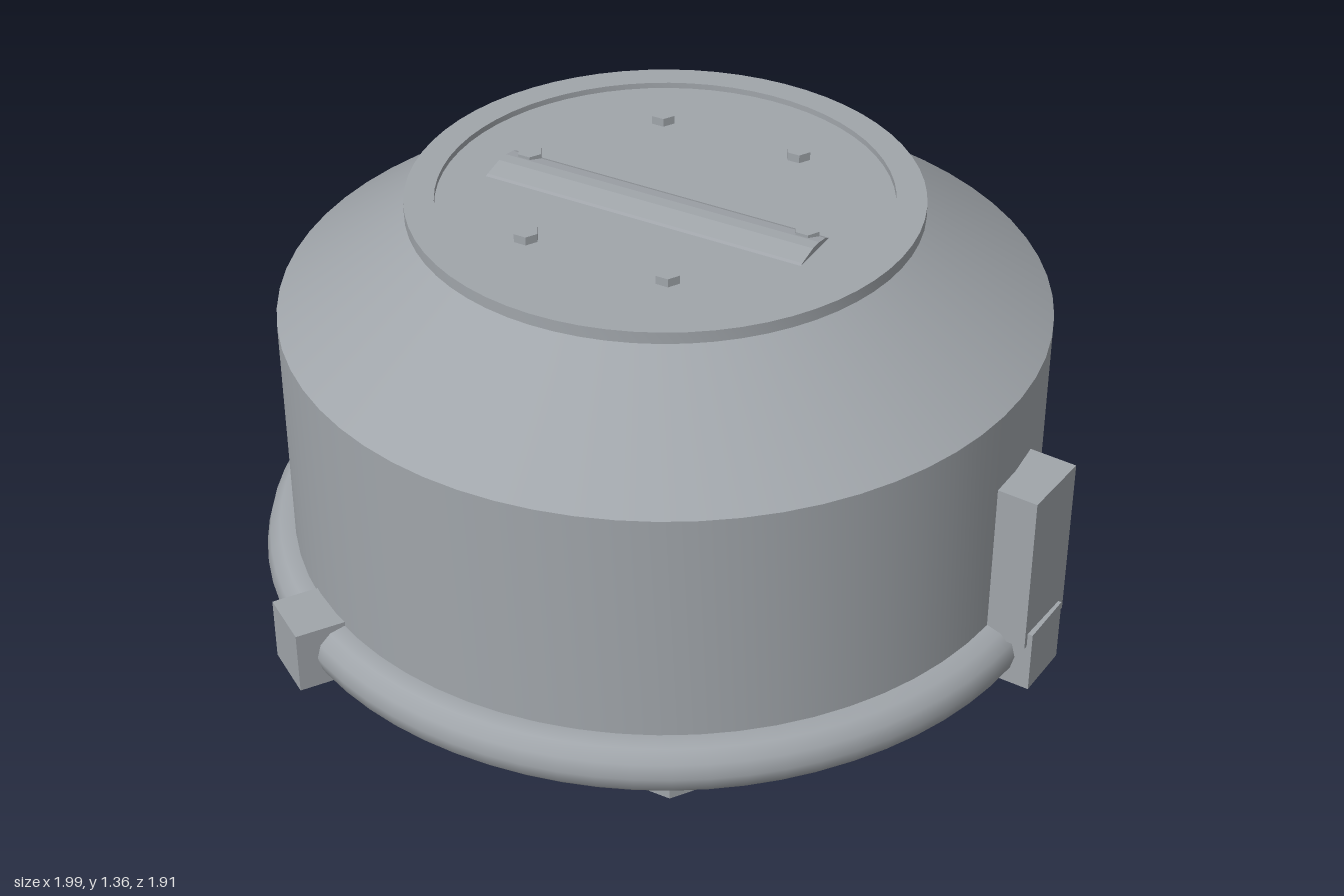
import * as THREE from 'three';
import { toCreasedNormals } from 'three/addons/utils/BufferGeometryUtils.js';

export function createModel() {
  const model = new THREE.Group();
  model.name = 'drumHousing';
  const greyMetal = new THREE.MeshStandardMaterial({ color: 0xa0a5aa });
  greyMetal.name = 'greyMetal';

  const add = (name, geometry, parent = model) => {
    const mesh = new THREE.Mesh(geometry, greyMetal);
    mesh.name = name;
    parent.add(mesh);
    return mesh;
  };
  const lathe = (points) => toCreasedNormals(
    new THREE.LatheGeometry(points.map(([r, y]) => new THREE.Vector2(r, y)), 64), 0.3);
  const shape = (points) => new THREE.Shape(points.map(([x, y]) => new THREE.Vector2(x, y)));

  // Drum with a conical shoulder
  add('body', lathe([[0, 0.447], [0.885, 0.447], [0.885, 1.085], [0.545, 1.325], [0, 1.325]]));

  // Lid with a shallow recess inside its rim
  add('lid', lathe([[0, 1.322], [0.585, 1.322], [0.585, 1.35], [0.517, 1.35], [0.517, 1.336], [0, 1.336]]));

  // Hexagonal bolts on the lid
  for (let i = 0; i < 6; i++) {
    const a = (i * Math.PI) / 3;
    const bolt = add('lidBolt', toCreasedNormals(new THREE.CylinderGeometry(0.03, 0.03, 0.024, 6), 0.3));
    bolt.position.set(0.355 * Math.cos(a), 1.344, 0.355 * Math.sin(a));
    bolt.rotation.y = Math.PI / 6;
  }

  // Low ridge across the lid, profile drawn as (-z, y)
  const ridge = new THREE.ExtrudeGeometry(
    shape([[0.02, 0], [0, 0.01], [-0.03, 0.015], [-0.06, 0.015], [-0.11, 0.004], [-0.12, 0]]),
    { depth: 0.8, bevelEnabled: false });
  ridge.translate(0, 0, -0.4).rotateY(Math.PI / 2);
  add('lidRidge', ridge).position.y = 1.335;

  // Round ring at the base of the drum
  const ring = add('baseRing', new THREE.TorusGeometry(0.887, 0.068, 12, 72));
  ring.rotation.x = Math.PI / 2;
  ring.position.y = 0.447;

  // Three clips gripping the ring
  for (let i = 0; i < 3; i++) {
    const arm = new THREE.Group();
    arm.name = 'ringClipArm';
    arm.rotation.y = (i * 2 * Math.PI) / 3 - 0.01;
    const clip = add('ringClip', new THREE.BoxGeometry(0.135, 0.155, 0.145), arm);
    clip.position.set(0.928, 0.448, 0);
    clip.rotation.y = -0.05;
    model.add(arm);
  }

  // Upright lugs on both sides, slightly turned
  for (const side of [0, Math.PI]) {
    const arm = new THREE.Group();
    arm.name = 'sideLugArm';
    arm.rotation.y = side;
    const lug = add('sideLug', new THREE.BoxGeometry(0.14, 0.4, 0.18), arm);
    lug.position.set(0.916, 0.69, 0);
    lug.rotation.y = -0.09;
    model.add(arm);
  }

  // Five-sided pedestal, outline drawn as (x, -z)
  const pedestal = new THREE.ExtrudeGeometry(
    shape([[-0.445, -0.445], [0.26, -0.445], [0.44, -0.18], [0.26, 0.445], [-0.445, 0.445]]),
    { depth: 0.45, bevelEnabled: false });
  pedestal.rotateX(-Math.PI / 2);
  add('pedestal', pedestal);

  // Thin pads under the drum
  for (const x of [-0.58, 0.58]) {
    for (const z of [-0.28, 0.28]) {
      add('undersidePad', new THREE.BoxGeometry(0.2, 0.008, 0.1)).position.set(x, 0.444, z);
    }
  }

  return model;
}
